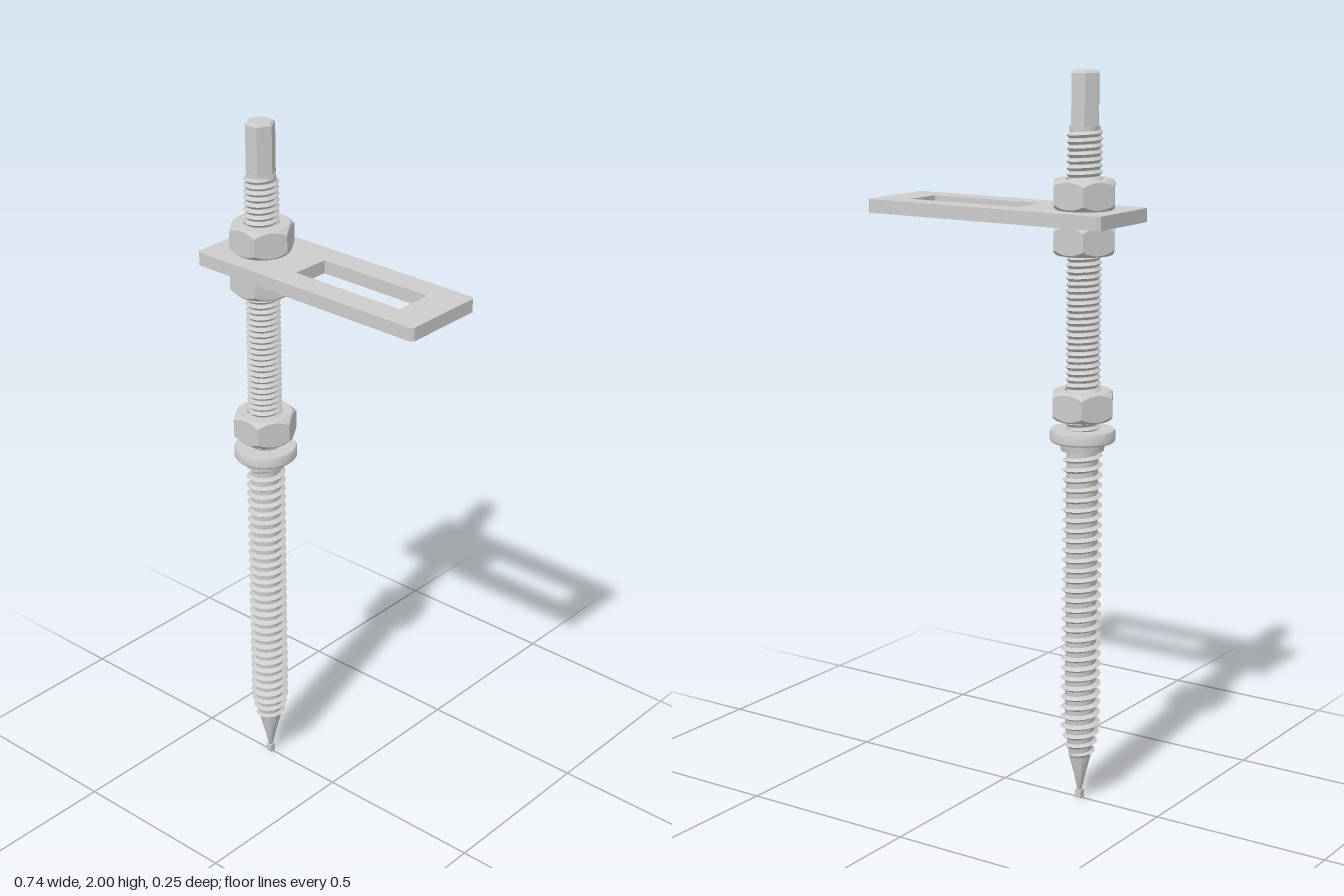
import * as THREE from 'three';
import { toCreasedNormals } from 'three/addons/utils/BufferGeometryUtils.js';
import { ParametricGeometry } from 'three/addons/geometries/ParametricGeometry.js';

const AXIS_X = -0.25;

export function createModel() {
  const model = new THREE.Group();
  model.name = 'hangerBoltWithPlate';
  const bolt = new THREE.Group();
  bolt.name = 'bolt';
  bolt.position.x = AXIS_X;
  model.add(bolt);

  const material = new THREE.MeshStandardMaterial({ color: 0xcccccc });
  const threadMaterial = new THREE.MeshStandardMaterial({ color: 0xcccccc, side: THREE.DoubleSide });

  function add(parent, name, geometry, mat = material) {
    const mesh = new THREE.Mesh(toCreasedNormals(geometry, 0.6), mat);
    mesh.name = name;
    parent.add(mesh);
    return mesh;
  }

  // Turned part from [radius, height] pairs, bottom to top
  const turned = (pairs, sides = 32) =>
    new THREE.LatheGeometry(pairs.map(([r, y]) => new THREE.Vector2(r, y)), sides);

  // Helical ridge: root, crest, root across the width, radius given by height
  function thread(y0, y1, pitch, width, rootAt, crestAt) {
    const turns = (y1 - y0) / pitch;
    return new ParametricGeometry((u, v, target) => {
      const angle = u * turns * Math.PI * 2;
      const y = y0 + u * (y1 - y0);
      const fade = Math.min(1, u * turns * 2, (1 - u) * turns * 2);
      const root = rootAt(y);
      const r = v === 0.5 ? root + (crestAt(y) - root) * fade : root;
      target.set(r * Math.cos(angle), y + (v - 0.5) * width, -r * Math.sin(angle));
    }, Math.round(turns * 24), 2);
  }

  // Hexagonal nut with corners on x, chamfered top and bottom, open bore
  function nut(height) {
    const flat = 0.079, bore = 0.049, bevel = 0.075, h = height / 2;
    return new ParametricGeometry((u, v, target) => {
      const angle = u * Math.PI * 2;
      const sector = (angle % (Math.PI / 3)) - Math.PI / 6;
      const side = flat / Math.cos(sector);
      const drop = h - (side - bevel) * 0.95;
      const profile = [[bore, -h], [bevel, -h], [side, -drop], [side, drop], [bevel, h], [bore, h], [bore, -h]];
      const [r, y] = profile[Math.round(v * 6)];
      target.set(r * Math.cos(angle), y, -r * Math.sin(angle));
    }, 48, 6);
  }

  // Wood screw core with its pointed tip
  add(bolt, 'woodScrewCore', turned([
    [0, 0.015], [0.005, 0.02], [0.016, 0.07], [0.03, 0.125], [0.042, 0.21], [0.043, 1.0], [0, 1.0],
  ]));
  const tip = add(bolt, 'tipKnob', new THREE.BoxGeometry(0.018, 0.024, 0.018));
  tip.position.y = 0.012;

  // Coarse wood thread, tapering toward the tip
  const woodRoot = (y) => THREE.MathUtils.mapLinear(Math.min(y, 0.21), 0.125, 0.21, 0.029, 0.041);
  const woodCrest = (y) => THREE.MathUtils.mapLinear(Math.min(y, 0.21), 0.125, 0.21, 0.038, 0.055);
  add(bolt, 'woodThread', thread(0.125, 0.995, 0.028, 0.017, woodRoot, woodCrest), threadMaterial);

  // Machine threaded upper shaft
  add(bolt, 'machineShaft', turned([[0, 0.99], [0.04, 0.99], [0.04, 1.858], [0, 1.858]]));
  add(bolt, 'machineThread', thread(1.05, 1.852, 0.017, 0.0165, () => 0.0395, () => 0.048), threadMaterial);

  // Hexagonal drive end
  const drive = add(bolt, 'hexDrive', turned([[0, 1.85], [0.041, 1.85], [0.041, 1.994], [0.035, 2], [0, 2]], 6));
  drive.rotation.y = Math.PI / 6;

  // Sealing washer with its lower collar
  add(bolt, 'washer', turned([
    [0, 0.995], [0.058, 0.995], [0.061, 1.02], [0.085, 1.02], [0.088, 1.024],
    [0.088, 1.048], [0.085, 1.053], [0.045, 1.053], [0, 1.053],
  ]));

  // Nuts: one above the washer, two clamping the plate
  for (const [name, y] of [['lowerNut', 1.12], ['clampNutBelow', 1.563], ['clampNutAbove', 1.681]]) {
    add(bolt, name, nut(0.08)).position.y = y;
  }

  // Slotted mounting plate with clipped corners and a bolt hole
  const X = 0.372, Z = 0.125, C = 0.009;
  const outline = new THREE.Shape([
    [-X + C, -Z], [X - C, -Z], [X, -Z + C], [X, Z - C],
    [X - C, Z], [-X + C, Z], [-X, Z - C], [-X, -Z + C],
  ].map(([x, z]) => new THREE.Vector2(x, z)));
  const slot = new THREE.Path([
    [-0.077, -0.055], [-0.077, 0.055], [0.273, 0.055], [0.273, -0.055],
  ].map(([x, z]) => new THREE.Vector2(x, z)));
  const hole = new THREE.Path().absarc(AXIS_X, 0, 0.05, 0, Math.PI * 2, true);
  outline.holes.push(slot, hole);
  const plate = new THREE.ExtrudeGeometry(outline, { depth: 0.037, bevelEnabled: false, curveSegments: 16 });
  plate.rotateX(-Math.PI / 2);
  add(model, 'mountingPlate', plate).position.y = 1.604;

  return model;
}
